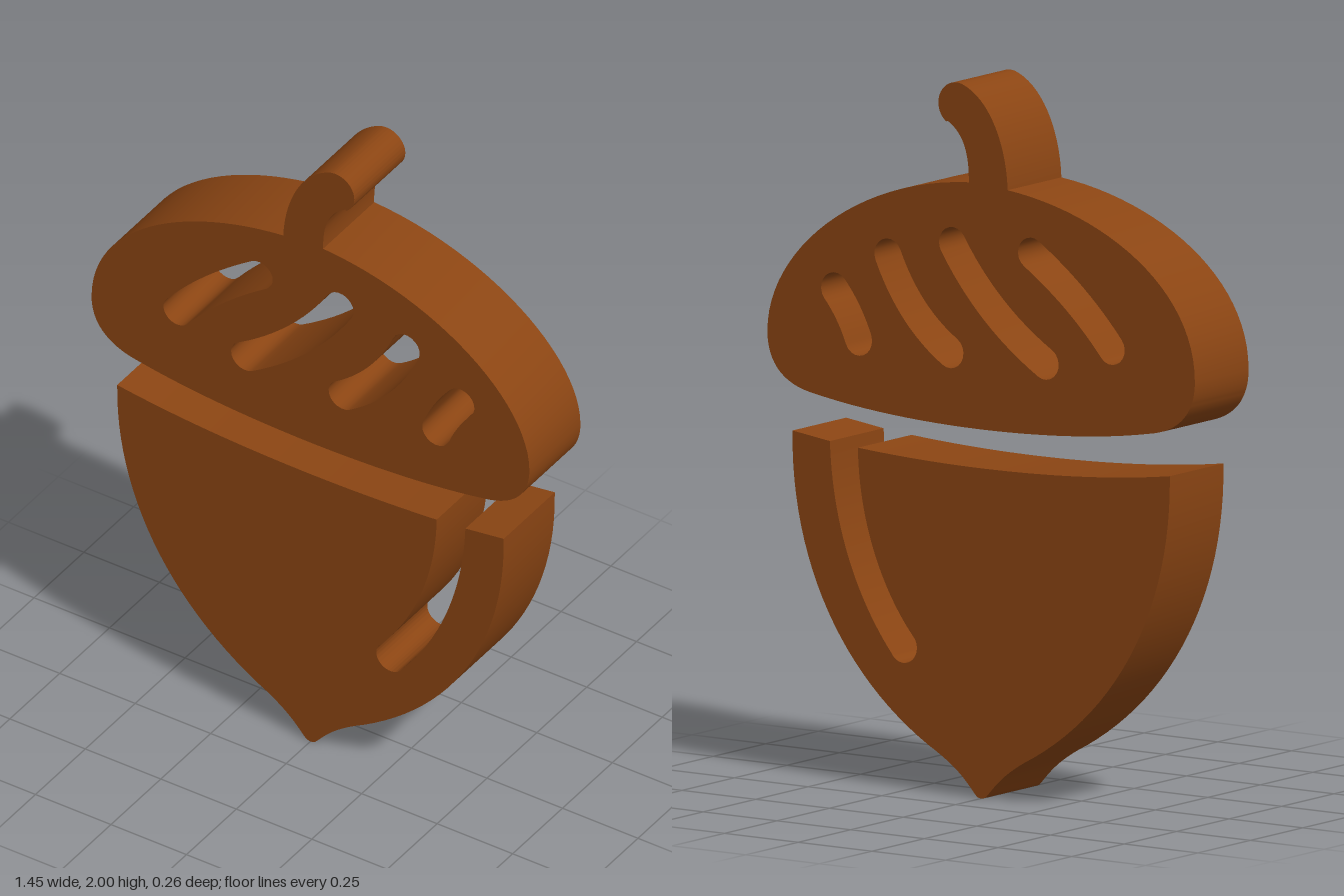
import * as THREE from 'three';
import { toCreasedNormals } from 'three/addons/utils/BufferGeometryUtils.js';

const DEPTH = 0.256;

// Rounded slot of radius r along a gentle curve a -> b, bowed through control c
function slot(a, c, b, r) {
  const curve = new THREE.QuadraticBezierCurve(
    new THREE.Vector2(...a), new THREE.Vector2(...c), new THREE.Vector2(...b));
  const left = [], right = [], end = [], start = [];
  const n = 12;
  for (let i = 0; i <= n; i++) {
    const p = curve.getPoint(i / n), t = curve.getTangent(i / n);
    left.push(new THREE.Vector2(p.x - t.y * r, p.y + t.x * r));
    right.push(new THREE.Vector2(p.x + t.y * r, p.y - t.x * r));
  }
  const cap = (out, u, from) => {
    const p = curve.getPoint(u);
    const t = curve.getTangent(u);
    const base = Math.atan2(t.y, t.x) + from;
    for (let i = 1; i < 10; i++) {
      const ang = base + (i / 10) * Math.PI;
      out.push(new THREE.Vector2(p.x + Math.cos(ang) * r, p.y + Math.sin(ang) * r));
    }
  };
  cap(end, 1, -Math.PI / 2);
  cap(start, 0, Math.PI / 2);
  return new THREE.Path([...right, ...end, ...left.reverse(), ...start]);
}

function slab(name, shape, material) {
  const geometry = new THREE.ExtrudeGeometry(shape, {
    depth: DEPTH, bevelEnabled: false, curveSegments: 24,
  });
  geometry.translate(0, 0, -DEPTH / 2);
  const mesh = new THREE.Mesh(toCreasedNormals(geometry, 0.5), material);
  mesh.name = name;
  return mesh;
}

export function createModel() {
  const brown = new THREE.MeshStandardMaterial({ color: 0x8b4513 });
  brown.name = 'acorn brown';
  const group = new THREE.Group();
  group.name = 'acorn';

  // Cap with curved stem in one outline
  const cap = new THREE.Shape();
  cap.moveTo(-0.725, 1.24);
  cap.bezierCurveTo(-0.725, 1.15, -0.67, 1.095, -0.57, 1.08);
  cap.bezierCurveTo(-0.25, 1.02, 0.25, 1.02, 0.57, 1.08);
  cap.bezierCurveTo(0.67, 1.095, 0.725, 1.15, 0.725, 1.24);
  cap.bezierCurveTo(0.725, 1.47, 0.42, 1.7, 0.042, 1.724);
  cap.bezierCurveTo(0.04, 1.82, 0.07, 1.865, 0.115, 1.89);
  cap.absarc(0.083, 1.938, 0.062, -0.96, 1.85, false);
  cap.bezierCurveTo(-0.03, 1.965, -0.085, 1.84, -0.09, 1.715);
  cap.bezierCurveTo(-0.42, 1.68, -0.725, 1.5, -0.725, 1.24);

  // Slanted grooves cut through the cap
  cap.holes.push(
    slot([-0.442, 1.305], [-0.33, 1.44], [-0.17, 1.545], 0.045),
    slot([-0.217, 1.242], [-0.02, 1.36], [0.097, 1.547], 0.046),
    slot([0.106, 1.242], [0.245, 1.33], [0.316, 1.493], 0.046),
    slot([0.416, 1.246], [0.445, 1.32], [0.497, 1.38], 0.046),
  );
  group.add(slab('capWithStem', cap, brown));

  // Nut with a highlight notch open at the top
  const nut = new THREE.Shape();
  nut.moveTo(-0.64, 0.968);
  nut.bezierCurveTo(-0.645, 0.6, -0.47, 0.3, -0.175, 0.13);
  nut.bezierCurveTo(-0.07, 0.075, -0.045, 0.035, -0.015, 0.004);
  nut.quadraticCurveTo(0, -0.004, 0.015, 0.004);
  nut.bezierCurveTo(0.045, 0.035, 0.07, 0.075, 0.175, 0.13);
  nut.bezierCurveTo(0.47, 0.3, 0.645, 0.6, 0.64, 0.968);
  nut.lineTo(0.513, 0.951);
  nut.bezierCurveTo(0.505, 0.73, 0.43, 0.53, 0.303, 0.376);
  nut.absarc(0.264, 0.4, 0.046, -0.55, 2.5, true);
  nut.bezierCurveTo(0.345, 0.56, 0.415, 0.75, 0.418, 0.942);
  nut.quadraticCurveTo(0.21, 0.926, 0, 0.926);
  nut.quadraticCurveTo(-0.36, 0.926, -0.64, 0.968);
  group.add(slab('nut', nut, brown));

  return group;
}
